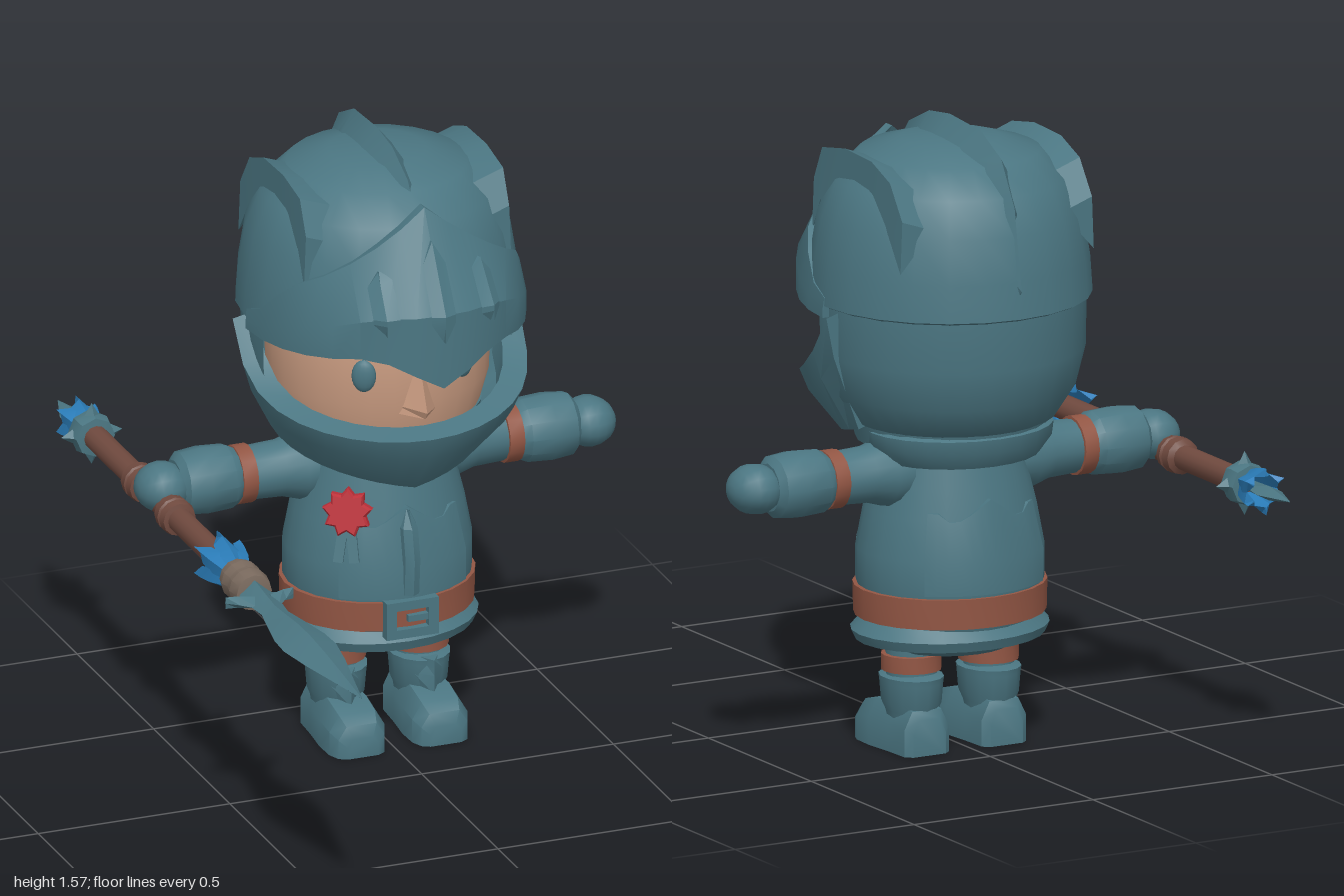
import * as THREE from 'three';
import { toCreasedNormals } from 'three/addons/utils/BufferGeometryUtils.js';

const mat = (name, color, side = THREE.FrontSide) => new THREE.MeshStandardMaterial({ name, color, side });
const steel = mat('teal steel', 0x4b7682, THREE.DoubleSide);
const skin = mat('skin', 0xcb9d82);
const leather = mat('leather', 0x925644);
const wood = mat('dark wood', 0x704a3f);
const wrap = mat('cord wrap', 0x7a6a5e);
const red = mat('red', 0xbe323b);
const blue = mat('blue', 0x2a7cb8);

function add(parent, name, geo, material, x = 0, y = 0, z = 0) {
  const m = new THREE.Mesh(geo, material);
  m.name = name;
  m.position.set(x, y, z);
  parent.add(m);
  return m;
}

const crease = (geo, angle = 0.6) => toCreasedNormals(geo, angle);

const lathe = (pts, seg = 20, start = 0, len = Math.PI * 2) =>
  crease(new THREE.LatheGeometry(pts.map(p => new THREE.Vector2(p[0], p[1])), seg, start, len));

// Joins closed cross-sections into a capped solid and turns its faces outward
function loft(sections, angle = 0.5) {
  const n = sections[0].length, pos = sections.flat(2), idx = [];
  const last = (sections.length - 1) * n;
  for (let i = 0; i < sections.length - 1; i++) {
    for (let j = 0; j < n; j++) {
      const a = i * n + j, b = i * n + (j + 1) % n;
      idx.push(a, b, a + n, b, b + n, a + n);
    }
  }
  for (let j = 1; j < n - 1; j++) idx.push(0, j + 1, j, last, last + j, last + j + 1);
  let volume = 0;
  const P = i => new THREE.Vector3(pos[i * 3], pos[i * 3 + 1], pos[i * 3 + 2]);
  for (let i = 0; i < idx.length; i += 3) volume += P(idx[i]).dot(P(idx[i + 1]).cross(P(idx[i + 2])));
  if (volume < 0) idx.reverse();
  const g = new THREE.BufferGeometry();
  g.setAttribute('position', new THREE.Float32BufferAttribute(pos, 3));
  g.setIndex(idx);
  return crease(g, angle);
}

const polar = (a, rx, rz, y) => [rx * Math.sin(a), y, rz * Math.cos(a)];
const range = (n, a, b) => Array.from({ length: n + 1 }, (_, i) => a + (b - a) * i / n);
const mix = THREE.MathUtils.lerp;

// Point on the visor: a is the angle from the front, v runs from top edge to bottom edge
function visorPoint(a, v, grow = 1) {
  const s = Math.abs(Math.sin(a));
  const top = s < 0.88 ? 1.48 - 0.244 * s : mix(1.265, 1.15, (s - 0.88) / 0.12);
  const bottom = s < 0.46 ? mix(1.055, 1.14, s / 0.46) : mix(1.14, 1.1, (s - 0.46) / 0.54);
  const mid = mix(bottom, top, 0.45);
  const rTop = 0.31 + 0.035 * Math.min(1, (1.48 - top) / 0.2);
  const k = Math.min(1, v * 2);
  const y = v < 0.5 ? mix(top, mid, k) : mix(mid, bottom, v * 2 - 1);
  return polar(a, mix(rTop, 0.348, k) * grow, mix(rTop, 0.44, k) * grow, y);
}

function buildHead(parent) {
  const head = new THREE.Group();
  head.name = 'head';
  parent.add(head);

  // Face
  add(head, 'face', lathe([[0.2, 0.85], [0.25, 0.87], [0.272, 0.95], [0.275, 1.1], [0.25, 1.25]], 28), skin);
  add(head, 'nose', loft([
    [[-0.055, 0.925, 0.25], [0, 0.925, 0.315], [0.055, 0.925, 0.25]],
    [[-0.05, 0.945, 0.25], [0, 0.945, 0.33], [0.05, 0.945, 0.25]],
    [[-0.018, 1.06, 0.25], [0, 1.06, 0.28], [0.018, 1.06, 0.25]],
  ]), skin);
  for (const s of [-1, 1]) {
    const eye = add(head, 'eye', new THREE.SphereGeometry(1, 14, 10), steel, s * 0.13, 1.03, 0.24);
    eye.scale.set(0.03, 0.042, 0.016);
    eye.rotation.y = s * 0.45;
    const brow = add(head, 'eyebrow', new THREE.BoxGeometry(0.13, 0.014, 0.012), wood, s * 0.13, 1.097, 0.243);
    brow.rotation.set(0, s * 0.5, s * 0.15);
  }

  // Helmet shell
  add(head, 'helmetDome', lathe([[0.325, 1.12], [0.346, 1.13], [0.34, 1.22], [0.322, 1.33], [0.285, 1.42],
    [0.22, 1.485], [0.12, 1.515], [0, 1.525]], 24), steel);
  add(head, 'helmetBack', lathe([[0.2, 0.8], [0.26, 0.83], [0.305, 0.9], [0.33, 1.0], [0.332, 1.13]], 18, 1.36, 3.563), steel);
  add(head, 'helmetBase', lathe([[0, 0.77], [0.23, 0.77], [0.255, 0.87], [0, 0.87]], 24), steel);

  // Visor with three slit plates
  const angle = 1.54;
  add(head, 'visor', loft(range(16, -angle, angle).map(a => [
    ...[0, 0.5, 1].map(v => visorPoint(a, v)), ...[1, 0.5, 0].map(v => visorPoint(a, v, 0.91)),
  ])), steel);
  for (const a of [-0.4, 0, 0.4]) {
    const rows = [[0.15, 0.004], [0.24, 0.09], [0.5, 0.09], [0.56, 0.09], [0.68, 0.004]];
    add(head, 'visorSlit', loft(rows.map(([v, w]) =>
      [visorPoint(a - w, v, 1.003), visorPoint(a, v, 1.03), visorPoint(a + w, v, 1.003)]), 0.3), steel);
  }

  // Chin guard
  add(head, 'chinGuard', loft(range(18, -1.66, 1.66).map(a => {
    const t = Math.abs(a) / 1.66;
    const top = 0.89 + 0.1 * t ** 2 + 0.12 * t ** 8, low = 0.72 + 0.1 * t;
    const ring = (r, y) => polar(a, r, r, y);
    return [ring(0.365, top), ring(0.343, mix(top, low, 0.35)), ring(0.25 + 0.02 * t, low),
      ring(0.2, low + 0.02), ring(0.29, mix(top, low, 0.35)), ring(0.305, top + 0.015)];
  })), steel);

  // Crests
  const ridge = [[0.27, 1.42], [0.2, 1.51], [0.1, 1.557], [0, 1.57], [-0.15, 1.56], [-0.25, 1.51], [-0.315, 1.4], [-0.35, 1.2]];
  add(head, 'middleCrest', loft(ridge.map(([z, y], i) => {
    const w = i === 7 ? 0.01 : 0.065, zi = z * 0.8;
    return [[-w, y - 0.08, zi], [0, y, z], [w, y - 0.08, zi]];
  }), 0.4), steel);
  for (const s of [-1, 1]) {
    const path = [[0.2, 1.4], [0.16, 1.485], [0.05, 1.505], [-0.08, 1.5], [-0.17, 1.465], [-0.23, 1.38]];
    add(head, 'sideCrest', loft(path.map(([z, y]) =>
      [[s * 0.18, y - 0.03, z], [s * 0.265, y, z], [s * 0.27, y - 0.13, z]]), 0.4), steel);
  }
}

function buildBody(parent) {
  const body = new THREE.Group();
  body.name = 'body';
  parent.add(body);
  const round = (name, pts, m, zs, start, len) => {
    const mesh = add(body, name, lathe(pts, 24, start, len), m);
    mesh.scale.z = zs;
    return mesh;
  };
  round('tunic', [[0, 0.25], [0.15, 0.25], [0.19, 0.275], [0.215, 0.33], [0.234, 0.42], [0.234, 0.5], [0.215, 0.6],
    [0.195, 0.68], [0.17, 0.78], [0, 0.79]], steel, 0.92);
  round('skirt', [[0.19, 0.27], [0.24, 0.275], [0.252, 0.3], [0.22, 0.335]], steel, 0.84);
  round('belt', [[0.22, 0.335], [0.24, 0.335], [0.242, 0.41], [0.22, 0.412]], leather, 0.91);
  round('collar', [[0.16, 0.735], [0.205, 0.735], [0.235, 0.775], [0.24, 0.81], [0.2, 0.83], [0, 0.83]], steel, 0.86).position.z = -0.04;

  // Chest and back plates
  for (const [name, mid] of [['chestPlate', 0], ['backPlate', Math.PI]]) {
    add(body, name, loft(range(12, -0.75, 0.75).map(d => {
      const top = 0.6 + 0.05 * Math.max(0, 1 - Math.abs(d) / 0.35) + (Math.abs(d) > 0.55 ? 0.02 : 0);
      const p = (r, y) => polar(mid + d, r, r * 0.93, y);
      return [p(0.243, 0.42), p(0.244, 0.5), p(0.215, top), p(0.19, top), p(0.22, 0.5), p(0.22, 0.42)];
    })), steel);
  }
  add(body, 'chestRidge', loft([[0.43, 0.228, 0.024], [0.52, 0.236, 0.024], [0.6, 0.22, 0.024], [0.645, 0.2, 0.004]].map(([y, z, w]) =>
    [[-w, y, z - 0.03], [-w * 0.8, y, z], [0, y, z + 0.012], [w * 0.8, y, z], [w, y, z - 0.03]]), 0.3), steel);

  // Buckle
  const frame = new THREE.Shape([[-0.068, -0.048], [0.068, -0.048], [0.068, 0.048], [-0.068, 0.048]].map(p => new THREE.Vector2(...p)));
  frame.holes.push(new THREE.Path([[-0.042, -0.025], [-0.042, 0.025], [0.042, 0.025], [0.042, -0.025]].map(p => new THREE.Vector2(...p))));
  add(body, 'buckle', new THREE.ExtrudeGeometry(frame, { depth: 0.03, bevelEnabled: false }), steel, 0, 0.368, 0.205);
  add(body, 'bucklePin', new THREE.BoxGeometry(0.07, 0.016, 0.02), steel, 0.025, 0.368, 0.222);

  // Rosette with two ribbon tails
  const star = new THREE.Shape(range(17, 0, 17).map(i => {
    const r = i % 2 ? 0.04 : 0.055, a = i * Math.PI / 9;
    return new THREE.Vector2(r * Math.sin(a), r * Math.cos(a));
  }));
  const medal = new THREE.Group();
  medal.name = 'medal';
  medal.position.set(-0.135, 0.64, 0.15);
  medal.rotation.set(-0.2, -0.5, 0, 'YXZ');
  body.add(medal);
  add(medal, 'rosette', new THREE.ExtrudeGeometry(star, { depth: 0.025, bevelSize: 0.005, bevelThickness: 0.008, bevelSegments: 1 }), red);
  for (const s of [-1, 1]) {
    const tail = add(medal, 'ribbonTail', new THREE.BoxGeometry(0.024, 0.1, 0.012), steel, s * 0.014, -0.075, 0.015);
    tail.rotation.z = s * 0.12;
  }
}

function buildLimbs(parent) {
  for (const s of [-1, 1]) {
    const arm = new THREE.Group();
    arm.name = s > 0 ? 'leftArm' : 'rightArm';
    arm.position.set(0, 0.705, -0.02);
    arm.rotation.z = -s * Math.PI / 2;
    parent.add(arm);
    add(arm, 'sleeve', lathe([[0.075, 0.1], [0.085, 0.2], [0.07, 0.25], [0.066, 0.34]], 16), steel);
    add(arm, 'armBand', lathe([[0.05, 0.325], [0.073, 0.328], [0.073, 0.366], [0.05, 0.37]], 16), leather);
    add(arm, 'forearm', lathe([[0, 0.366], [0.07, 0.366], [0.08, 0.385], [0.084, 0.45], [0.078, 0.505], [0.06, 0.52], [0, 0.52]], 12), steel);
    const hand = add(arm, 'hand', new THREE.SphereGeometry(1, 14, 10), steel, 0, 0.555, 0.005);
    hand.scale.set(0.062, 0.068, 0.075);

    const leg = new THREE.Group();
    leg.name = s > 0 ? 'leftLeg' : 'rightLeg';
    leg.position.x = s * 0.108;
    parent.add(leg);
    add(leg, 'thigh', lathe([[0.062, 0.15], [0.065, 0.3]], 14), steel);
    add(leg, 'legBand', lathe([[0.05, 0.197], [0.074, 0.2], [0.074, 0.24], [0.05, 0.243]], 16), leather);
    const cuff = add(leg, 'bootCuff', lathe([[0.055, 0.05], [0.062, 0.1], [0.07, 0.12], [0.074, 0.17], [0.076, 0.185], [0.05, 0.193]], 14), steel);
    cuff.scale.z = 1.2;
    add(leg, 'shinGuard', loft([[0.1, 0.025], [0.15, 0.04], [0.19, 0.022]].map(([y, w]) =>
      [[-w, y, 0.07], [0, y, 0.105], [w, y, 0.07], [0, y, 0.04]]), 0.3), steel);
    // Shoe as half-width, height and depth sections from heel to toe
    add(leg, 'shoe', loft([[-0.09, 0.045, 0.09], [-0.075, 0.062, 0.11], [0, 0.066, 0.12], [0.08, 0.074, 0.115],
      [0.14, 0.072, 0.1], [0.17, 0.06, 0.08], [0.182, 0.04, 0.05]].map(([z, w, h]) =>
      [[-w, 0, z], [w, 0, z], [w, h * 0.6, z], [w * 0.65, h, z], [-w * 0.65, h, z], [-w, h * 0.6, z]]), 0.7), steel);
  }
}

function buildSpear(parent) {
  const spear = new THREE.Group();
  spear.name = 'spear';
  spear.position.set(-0.55, 0.675, 0);
  parent.add(spear);
  const turned = (name, pts, m, seg = 12) => {
    add(spear, name, lathe(pts, seg), m).rotation.x = Math.PI / 2;
  };
  turned('shaft', [[0, -0.8], [0.031, -0.8], [0.031, 0.25], [0, 0.25]], wood);
  for (const z of [-0.455, -0.235]) {
    turned('gripWrap', [[0.03, z - 0.035], [0.044, z - 0.025], [0.046, z], [0.04, z + 0.005], [0.046, z + 0.012], [0.042, z + 0.032], [0.03, z + 0.035]], wood);
  }
  turned('headWrap', [[0.03, 0.165], [0.045, 0.17], [0.052, 0.2], [0.046, 0.225], [0.052, 0.25], [0.046, 0.285], [0, 0.295]], wrap);

  // Feather rings
  const feathers = (z, dir, len, r) => {
    for (let i = 0; i < 6; i++) {
      const holder = new THREE.Group();
      holder.name = 'feather';
      holder.position.z = z;
      holder.rotation.z = i * Math.PI / 3;
      spear.add(holder);
      add(holder, 'featherBlade', loft([[0, 0.022, 0.03], [0.4, 0.03, r * 0.85], [0.75, 0.022, r], [1, 0.002, r * 1.05]].map(([t, w, y]) =>
        [[-w, y - 0.012, dir * t * len], [0, y + 0.008, dir * t * len], [w, y - 0.012, dir * t * len]]), 0.3), blue);
    }
  };
  feathers(0.175, -1, 0.135, 0.058);
  feathers(-0.8, -1, 0.085, 0.048);

  // Blade and tail spike with diamond cross-sections
  const diamond = ([z, w, h]) => [[-w, 0, z], [0, h, z], [w, 0, z], [0, -h, z]];
  add(spear, 'blade', loft([[0.28, 0.04, 0.035], [0.36, 0.04, 0.026], [0.42, 0.034, 0.02], [0.5, 0.05, 0.026], [0.58, 0.065, 0.032],
    [0.65, 0.068, 0.032], [0.75, 0.052, 0.026], [0.87, 0.026, 0.014], [0.99, 0.001, 0.001]].map(diamond), 0.3), steel);
  for (const s of [-1, 1]) {
    add(spear, 'bladeBarb', loft([[0.02, 0.29, 0.39], [0.06, 0.3, 0.345], [0.088, 0.315, 0.322]].map(([x, a, b]) =>
      [[s * x, 0, a], [s * x, 0.015, (a + b) / 2], [s * x, 0, b], [s * x, -0.015, (a + b) / 2]]), 0.3), steel);
  }
  add(spear, 'tailSpike', loft([[-0.8, 0.015, 0.015], [-0.9, 0.035, 0.018], [-1, 0.001, 0.001]].map(diamond), 0.3), steel);
  turned('pommel', [[0.03, -0.81], [0.05, -0.808], [0.056, -0.78], [0.05, -0.752], [0.03, -0.75]], steel, 8);
  for (let i = 0; i < 4; i++) {
    const a = i * Math.PI / 2;
    const spike = add(spear, 'pommelSpike', crease(new THREE.ConeGeometry(0.02, 0.034, 4), 0.3), steel,
      -Math.sin(a) * 0.063, Math.cos(a) * 0.063, -0.78);
    spike.rotation.z = a;
  }
}

export function createModel() {
  const model = new THREE.Group();
  model.name = 'knight';
  const figure = new THREE.Group();
  figure.name = 'figure';
  figure.position.set(0.015, 0, -0.33);
  model.add(figure);
  buildHead(figure);
  buildBody(figure);
  buildLimbs(figure);
  buildSpear(model);
  return model;
}
